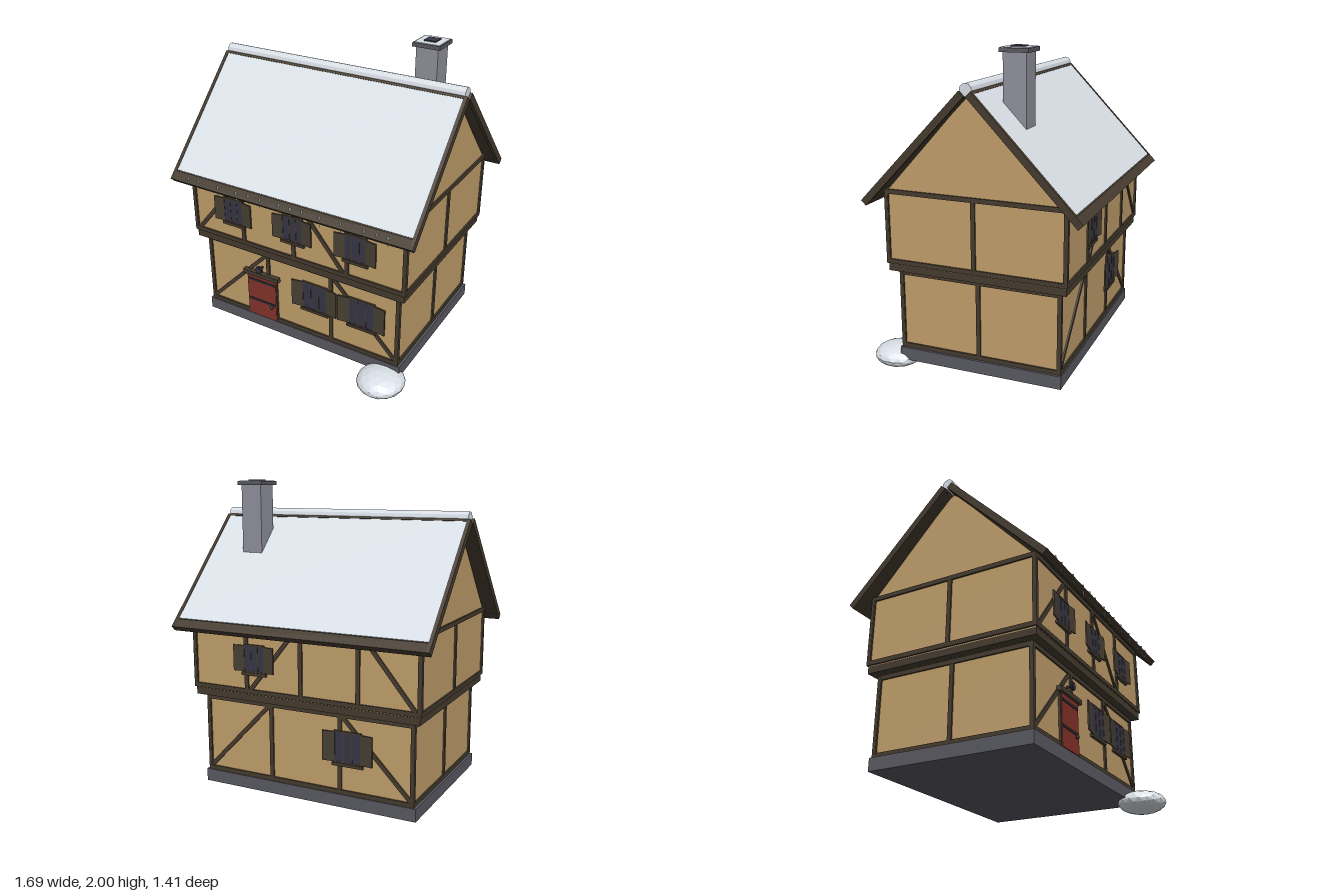
import * as THREE from 'three';

const mat = (name, color) => {
  const m = new THREE.MeshStandardMaterial({ color });
  m.name = name;
  return m;
};

export function createModel() {
  const plaster = mat('plaster', 0xc3a06c);
  const timber = mat('timber', 0x463c2f);
  const shutterWood = mat('shutterWood', 0x484034);
  const snow = mat('snow', 0xe4ebf2);
  const stone = mat('plinthStone', 0x5a5a62);
  const brick = mat('chimneyStone', 0x92929e);
  const glass = mat('glass', 0x363648);
  const doorRed = mat('doorRed', 0x85332a);
  const iron = mat('iron', 0x2c2c30);
  snow.flatShading = true;

  const house = new THREE.Group();
  house.name = 'house';
  const CZ = -0.033; // middle of the house in z

  const add = (parent, name, geo, material, x = 0, y = 0, z = 0) => {
    const m = new THREE.Mesh(geo, material);
    m.name = name;
    m.position.set(x, y, z);
    parent.add(m);
    return m;
  };
  const box = (parent, name, material, w, h, d, x, y, z) =>
    add(parent, name, new THREE.BoxGeometry(w, h, d), material, x, y, z);
  // straight timber in a wall plane, from (x1,y1) to (x2,y2)
  const beam = (parent, name, x1, y1, x2, y2, w = 0.024, d = 0.02) => {
    const m = box(parent, name, timber, Math.hypot(x2 - x1, y2 - y1), w, d, (x1 + x2) / 2, (y1 + y2) / 2, 0);
    m.rotation.z = Math.atan2(y2 - y1, x2 - x1);
    return m;
  };
  // group whose local z = 0 is a wall plane facing angle a
  const face = (name, dist, a) => {
    const g = new THREE.Group();
    g.name = name;
    g.rotation.y = a;
    g.position.set(Math.sin(a) * dist, 0, CZ + Math.cos(a) * dist);
    house.add(g);
    return g;
  };

  // Masonry and plaster bodies
  box(house, 'plinth', stone, 1.45, 0.08, 1.044, 0, 0.12, CZ);
  box(house, 'lowerWalls', plaster, 1.4, 0.52, 1.01, 0, 0.41, CZ);
  box(house, 'jettyBeam', timber, 1.51, 0.044, 1.116, 0, 0.69, CZ);
  box(house, 'upperWalls', plaster, 1.51, 0.46, 1.11, 0, 0.94, CZ);
  const gableShape = new THREE.Shape();
  gableShape.moveTo(-0.562, 1.15);
  gableShape.lineTo(0.562, 1.15);
  gableShape.lineTo(0, 1.765);
  const gableGeo = new THREE.ExtrudeGeometry(gableShape, { depth: 1.51, bevelEnabled: false });
  gableGeo.translate(0, 0, -0.755).rotateY(Math.PI / 2);
  add(house, 'gable', gableGeo, plaster, 0, 0, CZ);

  // Timber frame of one wall storey
  const frame = (g, half, y0, y1, posts) => {
    beam(g, 'sillBeam', -half, y0 + 0.013, half, y0 + 0.013, 0.028, 0.021);
    beam(g, 'topBeam', -half, y1 - 0.013, half, y1 - 0.013, 0.028, 0.021);
    for (const x of [-half + 0.012, ...posts, half - 0.012]) beam(g, 'post', x, y0, x, y1, 0.026);
  };

  // Window with mullions, sill and a pair of opened shutters
  const windowAt = (g, x, y, w, h, shutterW) => {
    const win = new THREE.Group();
    win.name = 'window';
    win.position.set(x, y, 0.01);
    g.add(win);
    box(win, 'pane', glass, w, h, 0.008, 0, 0, 0.002);
    for (const t of [-0.5, -0.17, 0.17, 0.5]) box(win, 'mullion', timber, 0.008, h, 0.012, t * w, 0, 0.002);
    for (const s of [-1, 1]) {
      box(win, 'rail', timber, w + 0.008, 0.01, 0.012, 0, s * h / 2, 0.002);
      const hinge = new THREE.Group();
      hinge.name = 'shutterHinge';
      hinge.position.set(s * w / 2, 0, 0.004);
      hinge.rotation.y = -s * 0.12;
      win.add(hinge);
      box(hinge, 'shutter', shutterWood, shutterW, h * 0.97, 0.009, s * shutterW / 2, 0, 0);
    }
    box(win, 'windowSill', timber, w + 0.03, 0.018, 0.018, 0, -h / 2 - 0.012, 0.004);
  };

  // Long sides: same frame front and back, mirrored by the turn of the group
  for (const [side, a, s] of [['front', 0, 1], ['back', Math.PI, -1]]) {
    const low = face(side + 'LowerFrame', 0.505, a);
    frame(low, 0.71, 0.16, 0.66, [-0.235, 0.235]);
    beam(low, 'brace', s * -0.69, 0.19, s * -0.25, 0.64, 0.026, 0.017);
    beam(low, 'brace', s * 0.69, 0.19, s * 0.25, 0.64, 0.026, 0.017);
    const up = face(side + 'UpperFrame', 0.555, a);
    frame(up, 0.765, 0.718, 1.172, [-0.375, 0, 0.375]);
    beam(up, 'brace', s * -0.735, 0.735, s * -0.395, 1.15, 0.026, 0.017);
    beam(up, 'brace', s * 0.355, 0.735, s * 0.02, 1.15, 0.026, 0.017);
    for (const x of s > 0 ? [0.12, 0.457] : [0.29]) windowAt(low, x, 0.455, 0.172, 0.19, 0.078);
    for (const x of s > 0 ? [-0.44, 0, 0.437] : [-0.315]) windowAt(up, x, 0.938, 0.14, 0.165, 0.07);
  }
  // Gable sides
  for (const [side, a] of [['left', Math.PI / 2], ['right', -Math.PI / 2]]) {
    frame(face(side + 'LowerFrame', 0.7, a), 0.515, 0.16, 0.66, [0]);
    frame(face(side + 'UpperFrame', 0.755, a), 0.565, 0.718, 1.172, [0]);
  }

  // Door with canopy, straps, knob and lantern
  const door = new THREE.Group();
  door.name = 'door';
  door.position.set(-0.283, 0, 0.472);
  house.add(door);
  box(door, 'doorFrame', timber, 0.232, 0.32, 0.028, 0, 0.32, 0);
  box(door, 'doorLeaf', doorRed, 0.216, 0.31, 0.036, 0, 0.318, 0);
  box(door, 'doorCanopy', timber, 0.27, 0.03, 0.05, 0, 0.49, 0.008);
  for (const y of [0.437, 0.283]) box(door, 'doorStrap', iron, 0.2, 0.016, 0.006, 0, y, 0.019);
  add(door, 'doorKnob', new THREE.SphereGeometry(0.012, 10, 8), iron, 0.075, 0.266, 0.025);
  box(door, 'lanternBracket', iron, 0.012, 0.012, 0.04, 0, 0.543, 0.02);
  const lantern = add(door, 'lantern', new THREE.CylinderGeometry(0.026, 0.026, 0.012, 12), iron, 0, 0.543, 0.04);
  lantern.rotation.x = Math.PI / 2;
  const lens = add(door, 'lanternGlass', new THREE.CylinderGeometry(0.018, 0.018, 0.006, 12), glass, 0, 0.543, 0.045);
  lens.rotation.x = Math.PI / 2;

  // Roof halves: local x along the ridge, local z down the slope
  const L = 0.92;
  const pitch = Math.atan2(0.655, 0.63);
  for (const [side, a] of [['front', 0], ['back', Math.PI]]) {
    const turn = face(side + 'Roof', 0, a);
    const slope = new THREE.Group();
    slope.name = 'roofSlope';
    slope.position.set(0, 1.428, 0.338);
    slope.rotation.x = pitch;
    turn.add(slope);
    box(slope, 'roofBoards', timber, 1.67, 0.03, L - 0.02, 0, 0, 0);
    box(slope, 'roofSnow', snow, 1.65, 0.009, L - 0.08, 0, 0.016, -0.027);
    for (const s of [-1, 1]) box(slope, 'bargeboard', timber, 0.022, 0.042, L, s * 0.832, 0.002, 0);
    box(slope, 'eaveBoard', timber, 1.67, 0.042, 0.06, 0, 0.002, L / 2 - 0.03);
    box(slope, 'ridgeBoard', timber, 1.67, 0.042, 0.016, 0, 0.002, -L / 2 + 0.008);
  }
  const ridge = add(house, 'ridgeSnow', new THREE.CylinderGeometry(0.037, 0.037, 1.655, 12), snow, 0, 1.781, CZ);
  ridge.rotation.z = Math.PI / 2;

  // Icicles along the front eave
  [-0.71, -0.63, -0.48, -0.34, -0.25, -0.165, -0.03, 0.05, 0.13, 0.25, 0.39, 0.54, 0.62, 0.69].forEach((x, i) => {
    const h = 0.06 + 0.035 * ((i * 5) % 4) / 3;
    const cone = add(house, 'icicle', new THREE.ConeGeometry(0.007, h, 6), snow, x, 1.142 - h / 2, 0.624);
    cone.rotation.x = Math.PI;
  });

  // Chimney
  const chimney = new THREE.Group();
  chimney.name = 'chimney';
  chimney.position.set(0.515, 0, -0.216);
  house.add(chimney);
  box(chimney, 'chimneyStack', brick, 0.14, 0.52, 0.14, 0, 1.71, 0);
  box(chimney, 'chimneyCap', stone, 0.176, 0.024, 0.176, 0, 1.977, 0);
  box(chimney, 'chimneySnow', snow, 0.16, 0.006, 0.16, 0, 1.99, 0);
  box(chimney, 'flue', glass, 0.076, 0.02, 0.076, 0, 1.99, 0);

  // Snow heap by the front corner
  const heap = add(house, 'snowHeap', new THREE.IcosahedronGeometry(1, 2), snow, 0.635, 0.07, 0.55);
  heap.scale.set(0.151, 0.07, 0.153);

  return house;
}
